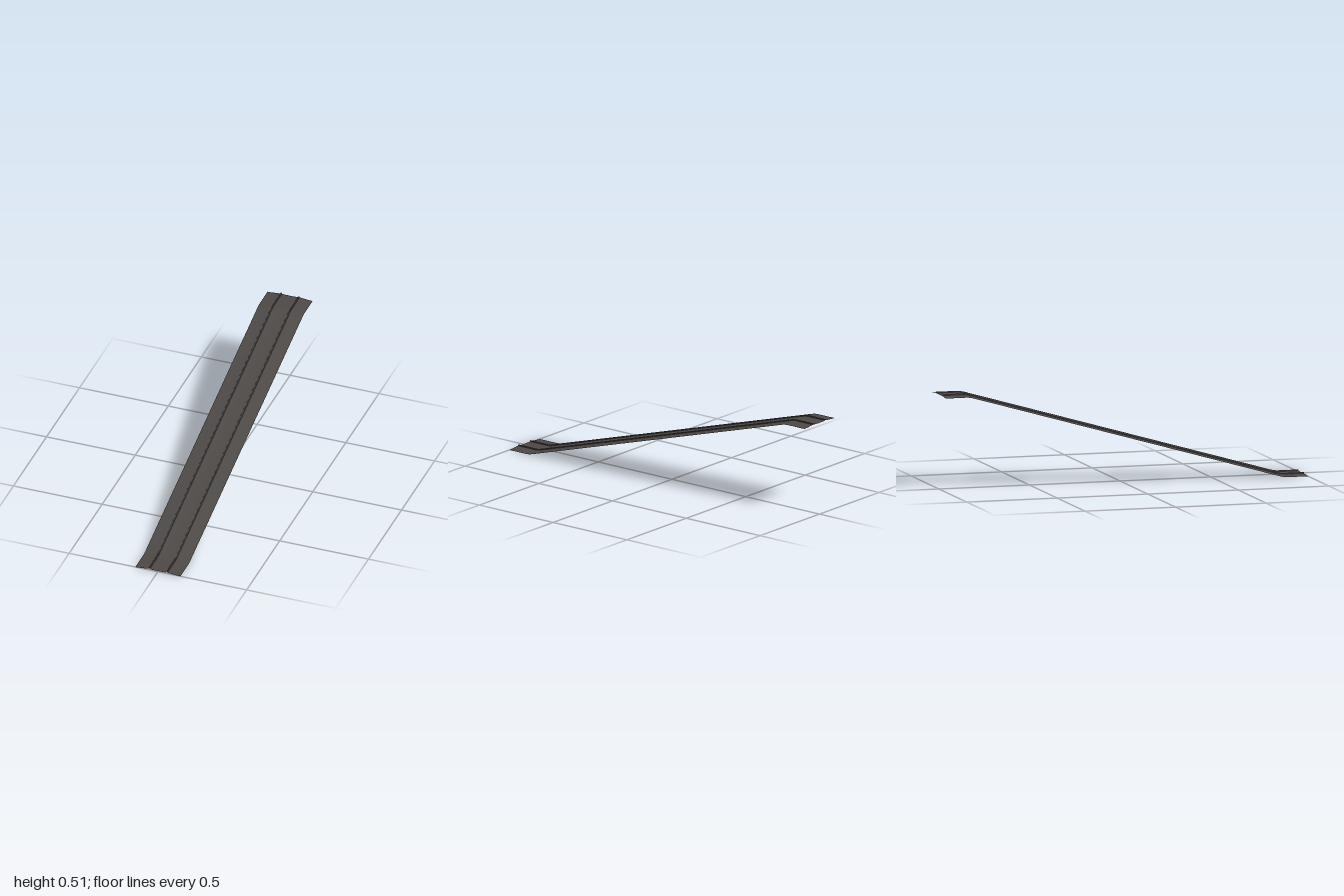
import * as THREE from 'three';

// Side path of the ramp as [z, rise], with softly rounded bends
const PATH = [
  [1, 0], [0.885, 0], [0.872, 0.001], [0.858, 0.0035], [0.845, 0.0065],
  [-0.845, 0.4935], [-0.858, 0.4965], [-0.872, 0.499], [-0.885, 0.5], [-1, 0.5],
];

// Sweeps an open cross-section of [x, y] points, ordered by rising x, along the path
function sweep(section) {
  const positions = [], index = [], n = section.length;
  PATH.forEach(([z, rise], j) => {
    section.forEach(([x, y], i) => {
      positions.push(x, y + rise, z);
      if (j < PATH.length - 1 && i < n - 1) {
        const a = j * n + i, b = a + 1, c = a + n, d = c + 1;
        index.push(a, b, d, a, d, c);
      }
    });
  });
  const geometry = new THREE.BufferGeometry();
  geometry.setAttribute('position', new THREE.Float32BufferAttribute(positions, 3));
  geometry.setIndex(index);
  geometry.computeVertexNormals();
  return geometry;
}

const mirror = (section) => section.map(([x, y]) => [-x, y]).reverse();

export function createModel() {
  const group = new THREE.Group();
  group.name = 'ramp';
  const darkMetal = new THREE.MeshStandardMaterial({ color: 0x4d4947, side: THREE.DoubleSide });
  darkMetal.name = 'dark metal';

  const add = (name, section) => {
    const mesh = new THREE.Mesh(sweep(section), darkMetal);
    mesh.name = name;
    group.add(mesh);
  };

  // Shallow dished panel between the ribs
  add('centrePanel', [[-0.046, 0.0055], [-0.025, 0.0042], [0, 0.0037], [0.025, 0.0042], [0.046, 0.0055]]);

  // Outer panels that droop to the edges
  const side = [[0.054, 0.0055], [0.08, 0.0033], [0.105, 0.0008], [0.127, 0]];
  add('leftPanel', side);
  add('rightPanel', mirror(side));

  // Narrow hollow ribs with rounded crowns
  const rib = [[0.046, 0.0055], [0.0463, 0.009]];
  for (let i = 1; i < 6; i++) {
    const t = Math.PI * (1 - i / 6);
    rib.push([0.05 + 0.0037 * Math.cos(t), 0.009 + 0.0028 * Math.sin(t)]);
  }
  rib.push([0.0537, 0.009], [0.054, 0.0055]);
  add('leftRib', rib);
  add('rightRib', mirror(rib));

  return group;
}
